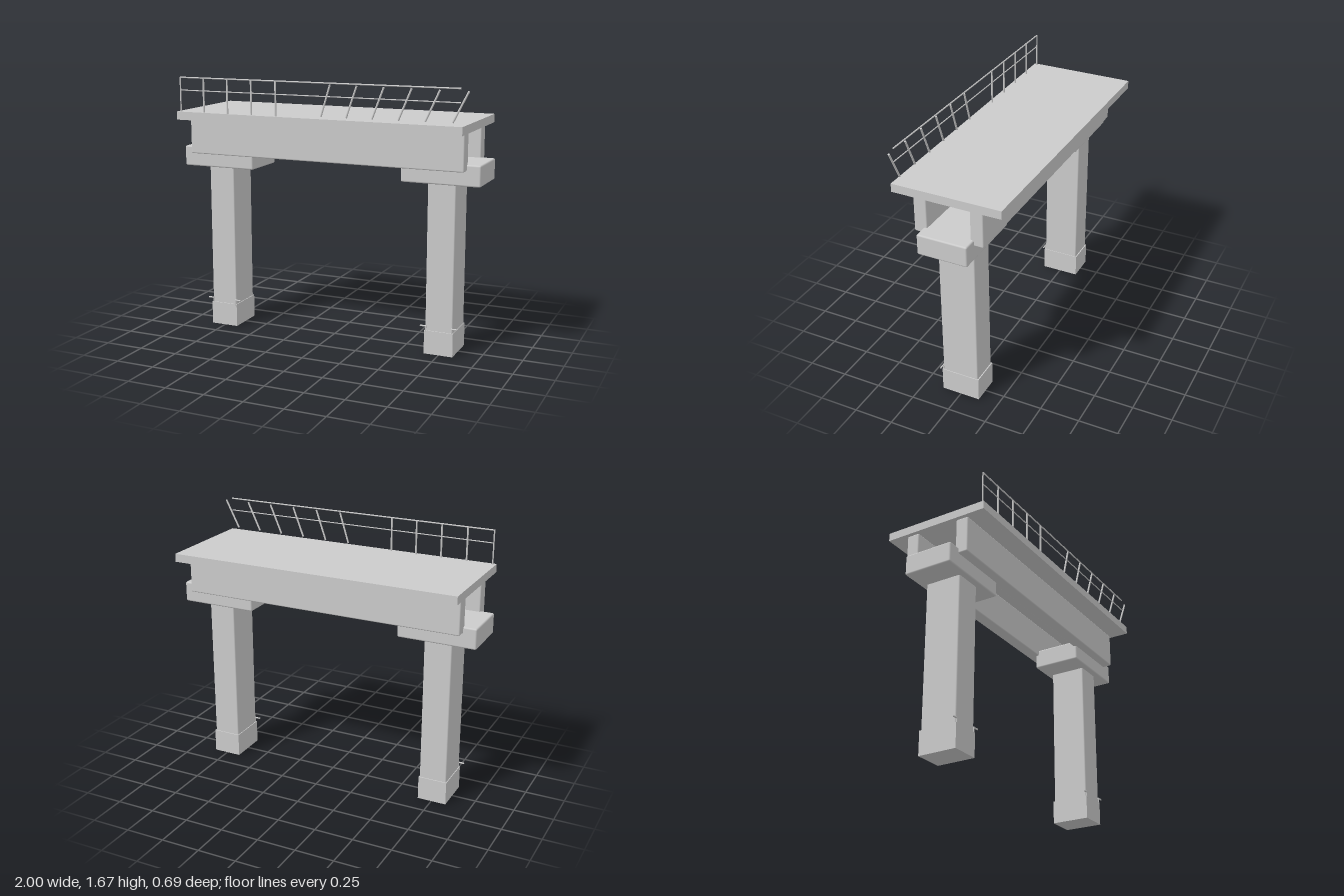
import * as THREE from 'three';
import { RoundedBoxGeometry } from 'three/addons/geometries/RoundedBoxGeometry.js';

const grey = new THREE.MeshStandardMaterial({ color: 0xcccccc });

export function createModel() {
  const root = new THREE.Group();
  root.name = 'bridgeSegment';

  const add = (name, geometry, x, y, z, parent = root) => {
    const mesh = new THREE.Mesh(geometry, grey);
    mesh.name = name;
    mesh.position.set(x, y, z);
    parent.add(mesh);
    return mesh;
  };
  const box = (w, h, d) => new THREE.BoxGeometry(w, h, d);
  const softBox = (w, h, d, r) => new RoundedBoxGeometry(w, h, d, 2, r);
  const rod = (length, r) => new THREE.CylinderGeometry(r, r, length, 8);
  const railBar = (name, length, r, x, y, z, parent) => {
    add(name, rod(length, r), x, y, z, parent).rotation.z = Math.PI / 2;
  };

  // Deck slab and the two girders under it
  add('deck', box(1.872, 0.052, 0.685), -0.003, 1.425, 0);
  for (const s of [-1, 1]) {
    add('girder', softBox(1.828, 0.232, 0.082, 0.008), -0.003, 1.284, s * 0.177);
  }

  // Piers: footing, column, cap and bent bar stubs
  for (const s of [-1, 1]) {
    const pier = new THREE.Group();
    pier.name = s > 0 ? 'leftPier' : 'rightPier';
    pier.position.x = s * 0.75 - 0.002;
    root.add(pier);
    add('footing', box(0.185, 0.15, 0.248), 0, 0.075, 0, pier);
    add('column', softBox(0.176, 0.955, 0.235, 0.008), 0, 0.6125, 0, pier);
    add('pierCap', softBox(0.496, 0.13, 0.317, 0.01), 0, 1.14, 0, pier);
    for (const t of [-1, 1]) {
      add('barStub', rod(0.04, 0.004), t * 0.083, 0.16, 0.121, pier);
      railBar('barHook', 0.04, 0.005, t * 0.1, 0.178, 0.121, pier);
    }
  }

  // Railing along the front edge: upright posts, then posts leaning further and further
  const railing = new THREE.Group();
  railing.name = 'railing';
  railing.position.z = 0.322;
  root.add(railing);
  railBar('topRail', 1.835, 0.0045, -0.003, 1.665, 0, railing);
  railBar('middleRail', 1.835, 0.0035, -0.003, 1.585, 0, railing);
  for (let i = 0; i < 5; i++) {
    add('uprightPost', rod(0.22, i ? 0.006 : 0.0045), -0.92 + i * 0.167, 1.557, 0, railing);
  }
  for (let i = 0; i < 6; i++) {
    const post = add('leaningPost', rod(0.203, 0.006), 0.08 + i * 0.167, 1.56, 0, railing);
    post.rotation.z = -(0.3 + i * 0.034);
  }

  return root;
}
